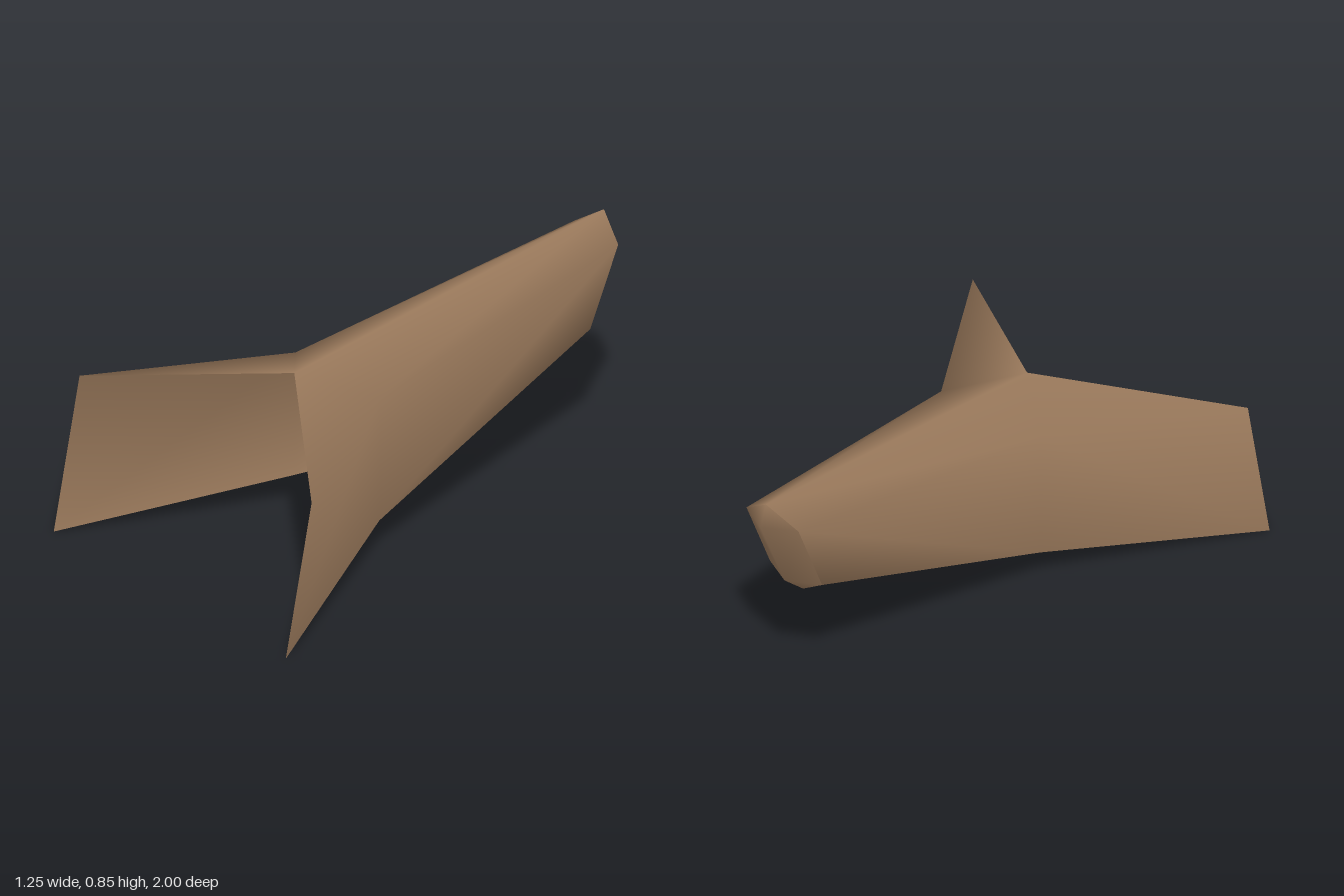
import * as THREE from 'three';

// Builds a mesh from right/left symmetric faces: points with x > 0 are mirrored.
function mirroredMesh(name, points, faces, material) {
  const pos = [];
  const right = [];
  const left = [];
  points.forEach(([x, y, z]) => {
    right.push(pos.length / 3);
    pos.push(x, y, z);
    if (x > 0) {
      left.push(pos.length / 3);
      pos.push(-x, y, z);
    } else {
      left.push(right[right.length - 1]);
    }
  });
  const index = [];
  faces.forEach((f) => {
    for (let i = 1; i < f.length - 1; i++) {
      index.push(right[f[0]], right[f[i]], right[f[i + 1]]);
      index.push(left[f[0]], left[f[i + 1]], left[f[i]]);
    }
  });
  const geo = new THREE.BufferGeometry();
  geo.setAttribute('position', new THREE.Float32BufferAttribute(pos, 3));
  geo.setIndex(index);
  geo.computeVertexNormals();
  const mesh = new THREE.Mesh(geo, material);
  mesh.name = name;
  return mesh;
}

export function createModel() {
  const group = new THREE.Group();
  group.name = 'forkedShell';
  const brown = new THREE.MeshStandardMaterial({ color: 0x9b7a5c, side: THREE.DoubleSide });
  brown.name = 'brown';

  // Rim of the narrow rear end, from ridge to keel
  const rim = [
    [0, 0.845, -0.97],
    [0.118, 0.765, -0.935],
    [0.118, 0.478, -0.808],
    [0, 0.393, -0.77],
  ];

  // Hollow trunk that forks into two thin, splayed wings
  const shell = [
    ...rim,
    [0, 0.678, 0.435], // 4 ridge end
    [0.225, 0.603, 0.24], // 5 elbow top
    [0.225, 0.125, 0.24], // 6 elbow bottom
    [0, 0.205, -0.21], // 7 keel end
    [0.623, 0.57, 0.883], // 8 wing tip top
    [0.623, 0, 1], // 9 wing tip bottom
  ];
  group.add(mirroredMesh('trunkAndWings', shell, [
    [0, 4, 5, 1], // roof
    [1, 5, 6, 2], // side
    [2, 6, 7, 3], // underside
    [4, 8, 5], // wing roof
    [5, 8, 9, 6], // wing wall
  ], brown));

  // Flat wall closing the rear of the hollow
  group.add(mirroredMesh('rearWall', rim, [[0, 1, 2, 3]], brown));

  // Ridged cap over the rear end
  const cap = [...rim, [0, 0.765, -1], [0, 0.478, -0.87]];
  group.add(mirroredMesh('rearCap', cap, [[0, 1, 4], [1, 2, 5, 4], [2, 3, 5]], brown));

  return group;
}
